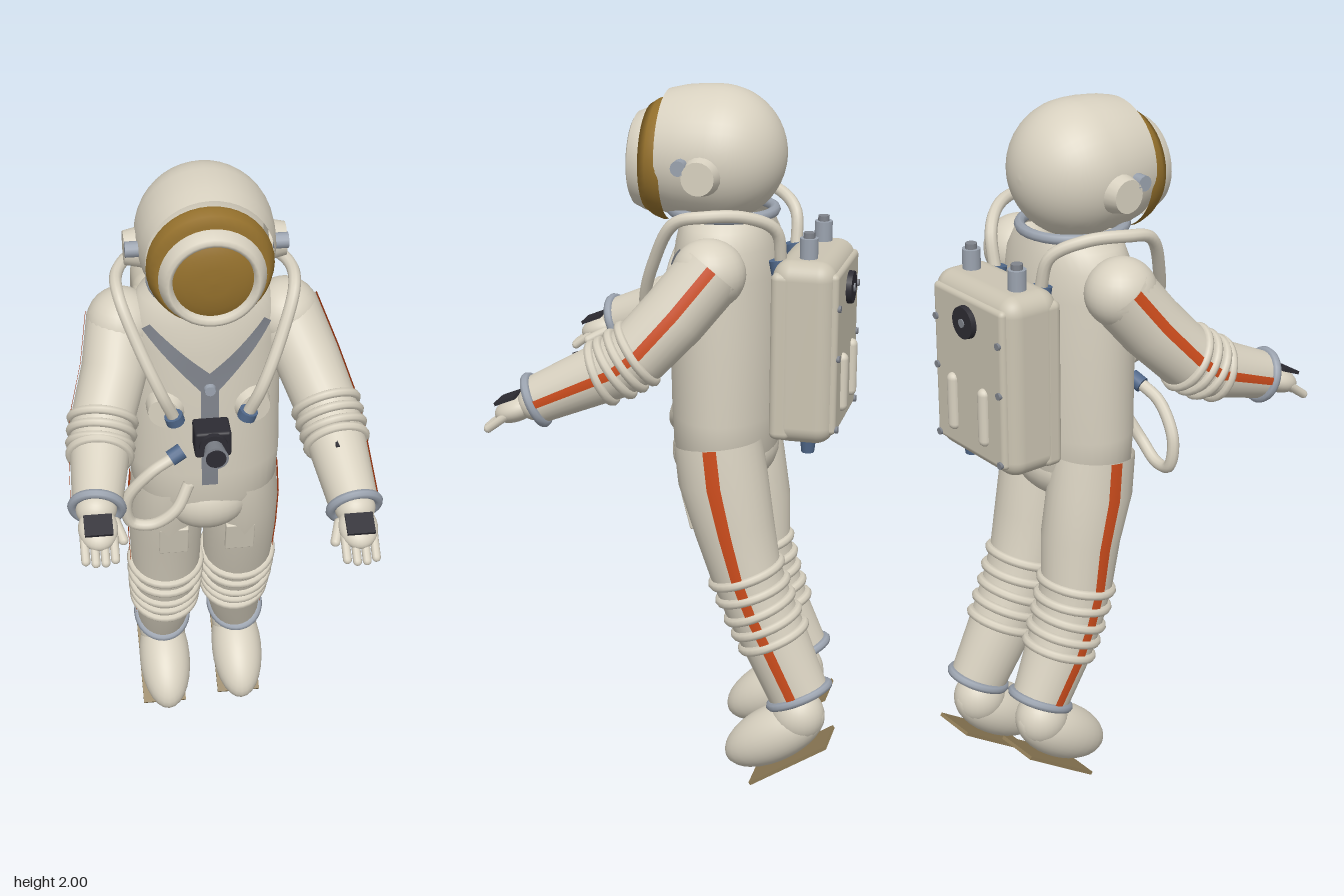
import * as THREE from 'three';
import { RoundedBoxGeometry } from 'three/addons/geometries/RoundedBoxGeometry.js';

const V = (x, y, z) => new THREE.Vector3(x, y, z);
const CX = -0.012; // body centre line

// Lofts elliptical rings along a path. rows: [x, y, z, rx, rOther]; a0..a1 limits the angle for strips.
function loft(rows, seg = 28, a0 = 0, a1 = Math.PI * 2, lift = 0) {
  const p = rows.map(r => V(r[0], r[1], r[2])), pos = [], idx = [], full = a1 - a0 > 6.28;
  const cols = full ? seg : seg + 1;
  rows.forEach((r, i) => {
    const T = p[Math.min(i + 1, p.length - 1)].clone().sub(p[Math.max(i - 1, 0)]).normalize();
    const A = V(1, 0, 0).addScaledVector(T, -T.x).normalize(), B = T.clone().cross(A);
    for (let j = 0; j < cols; j++) {
      const t = a0 + (a1 - a0) * j / seg;
      const q = p[i].clone().addScaledVector(A, Math.cos(t) * (r[3] + lift)).addScaledVector(B, Math.sin(t) * (r[4] + lift));
      pos.push(q.x, q.y, q.z);
    }
    if (i < rows.length - 1) for (let j = 0; j < seg; j++) {
      const a = i * cols + j, b = i * cols + (j + 1) % cols;
      idx.push(a, b, a + cols, b, b + cols, a + cols);
    }
  });
  const g = new THREE.BufferGeometry();
  g.setAttribute('position', new THREE.Float32BufferAttribute(pos, 3));
  g.setIndex(idx);
  g.computeVertexNormals();
  return g;
}

// Position, radii and direction at a fraction t of segment i of a limb
function along(rows, i, t) {
  const a = rows[i], b = rows[i + 1], m = a.map((v, k) => v + (b[k] - v) * t);
  return { p: V(m[0], m[1], m[2]), rx: m[3], ry: m[4], dir: V(b[0] - a[0], b[1] - a[1], b[2] - a[2]).normalize() };
}

const TORSO = [[0.92, 0.16, 0.115], [1.0, 0.207, 0.145], [1.1, 0.215, 0.15], [1.3, 0.213, 0.155],
  [1.5, 0.215, 0.15], [1.58, 0.205, 0.14], [1.63, 0.175, 0.13], [1.67, 0.125, 0.12]];
function chestZ(x, y) {
  let i = 0;
  while (i < TORSO.length - 2 && TORSO[i + 1][0] < y) i++;
  const a = TORSO[i], b = TORSO[i + 1], t = (y - a[0]) / (b[0] - a[0]);
  const rx = a[1] + (b[1] - a[1]) * t, rz = a[2] + (b[2] - a[2]) * t;
  return -0.13 + rz * Math.sqrt(Math.max(0, 1 - ((x - CX) / rx) ** 2));
}

export function createModel() {
  const root = new THREE.Group();
  const mat = (name, color, side = THREE.FrontSide) => {
    const m = new THREE.MeshStandardMaterial({ color, side });
    m.name = name;
    return m;
  };
  const suit = mat('suit cream', 0xd8d1c0, THREE.DoubleSide), panel = mat('pack cream', 0xcbc4b2);
  const gold = mat('visor gold', 0x94702c), orange = mat('stripe orange', 0xcc4c1c, THREE.DoubleSide);
  const cuff = mat('cuff grey', 0x9ba3af), strap = mat('strap grey', 0x80848c, THREE.DoubleSide);
  const blue = mat('fitting blue', 0x50688a), dark = mat('dark', 0x2d2c33), sole = mat('sole brown', 0x8e7b56);

  const add = (name, geo, m, pos, parent = root) => {
    const o = new THREE.Mesh(geo, m);
    o.name = name;
    if (pos) o.position.copy(pos);
    parent.add(o);
    return o;
  };
  const ball = (name, m, pos, sx, sy, sz, parent) => {
    const o = add(name, new THREE.SphereGeometry(1, 28, 18), m, pos, parent);
    o.scale.set(sx, sy, sz);
    return o;
  };
  const aim = (o, from, dir) => o.quaternion.setFromUnitVectors(from, dir.clone().normalize());
  const cyl = (name, m, pos, dir, r0, r1, h, seg = 20, parent = root) => {
    const o = add(name, new THREE.CylinderGeometry(r1, r0, h, seg), m, pos, parent);
    aim(o, V(0, 1, 0), dir);
    return o;
  };
  const ring = (name, m, pos, dir, r, tube, sx = 1, sy = 1) => {
    const o = add(name, new THREE.TorusGeometry(r, tube, 8, 32), m, pos);
    aim(o, V(0, 0, 1), dir);
    o.scale.set(sx, sy, 1);
    return o;
  };
  const hose = (name, pts, r, m = suit) => add(name,
    new THREE.TubeGeometry(new THREE.CatmullRomCurve3(pts.map(a => V(...a))), 48, r, 10), m);
  // Lathe about the z axis: profile of [radius, z], front to back
  const latheZ = (name, m, prof, y) => {
    const g = new THREE.LatheGeometry(prof.map(a => new THREE.Vector2(a[0], a[1])), 40);
    return add(name, g.rotateX(Math.PI / 2), m, V(CX, y, 0));
  };

  // Helmet: round shell, gold visor band, face ring and window
  const shell = [];
  for (let i = 0; i <= 14; i++) {
    const a = Math.PI * 0.5 * i / 14;
    shell.push([0.185 * Math.sin(a), -0.103 - 0.185 * Math.cos(a)]);
  }
  latheZ('helmetShell', suit, [...shell, [0.184, -0.06], [0.179, -0.01], [0.168, 0.037]], 1.815);
  latheZ('visorBand', gold, [[0.166, 0.025], [0.168, 0.04], [0.16, 0.065], [0.145, 0.088], [0, 0.088]], 1.795);
  latheZ('faceRing', suit, [[0.14, 0.08], [0.141, 0.092], [0.128, 0.122], [0.118, 0.128], [0.108, 0.122], [0.104, 0.1]], 1.79);
  latheZ('faceWindow', gold, [[0.108, 0.105], [0.08, 0.117], [0.04, 0.122], [0, 0.123]], 1.79);
  for (const s of [-1, 1]) {
    cyl('earCap', suit, V(CX + s * 0.19, 1.785, -0.095), V(s, 0, 0), 0.056, 0.045, 0.05);
    cyl('visorPivot', cuff, V(CX + s * 0.195, 1.81, -0.042), V(s, 0, 0), 0.021, 0.021, 0.04, 12);
  }

  // Torso, neck ring and hips
  add('torso', loft(TORSO.map(([y, rx, rz]) => [CX, y, -0.13, rx, rz]), 40), suit);
  ring('neckRing', cuff, V(CX, 1.663, -0.115), V(0, 1, 0), 0.142, 0.015);
  ball('hips', suit, V(CX, 0.98, -0.135), 0.2, 0.11, 0.14);
  ball('lowerBelly', suit, V(CX, 0.965, -0.075), 0.125, 0.1, 0.1);

  // Straps following the chest
  const chestStrip = (name, x0, y0, x1, y1, w0, w1) => {
    const n = 10, pos = [], idx = [], d = V(x1 - x0, y1 - y0, 0).normalize();
    for (let i = 0; i <= n; i++) for (const s of [-1, 1]) {
      const t = i / n, w = s * (w0 + (w1 - w0) * t) / 2;
      const x = x0 + (x1 - x0) * t - d.y * w, y = y0 + (y1 - y0) * t + d.x * w;
      pos.push(x, y, chestZ(x, y) + 0.005);
      if (i < n && s < 0) idx.push(2 * i, 2 * i + 2, 2 * i + 1, 2 * i + 1, 2 * i + 2, 2 * i + 3);
    }
    const g = new THREE.BufferGeometry();
    g.setAttribute('position', new THREE.Float32BufferAttribute(pos, 3));
    g.setIndex(idx);
    g.computeVertexNormals();
    add(name, g, strap);
  };
  chestStrip('centreStrap', CX, 1.42, CX, 1.07, 0.05, 0.045);
  for (const s of [-1, 1]) chestStrip('shoulderStrap', CX + s * 0.165, 1.57, CX, 1.41, 0.03, 0.06);
  cyl('strapBolt', cuff, V(CX, 1.4, 0.03), V(0, 0, 1), 0.018, 0.015, 0.02, 12);

  // Chest camera
  add('cameraBody', new RoundedBoxGeometry(0.1, 0.08, 0.08, 2, 0.008), dark, V(CX, 1.27, 0.07));
  cyl('lensCollar', dark, V(CX, 1.27, 0.115), V(0, 0, 1), 0.04, 0.04, 0.015);
  cyl('lens', strap, V(CX, 1.27, 0.145), V(0, 0, 1), 0.025, 0.035, 0.05);
  cyl('lensGlass', dark, V(CX, 1.27, 0.171), V(0, 0, 1), 0.028, 0.028, 0.004);

  // Air hoses from the pack over the shoulders to the chest ports
  for (const s of [-1, 1]) {
    const x = d => CX + s * d;
    hose('airHose', [[x(0.1), 1.54, -0.3], [x(0.13), 1.64, -0.29], [x(0.19), 1.685, -0.22], [x(0.235), 1.69, -0.12],
      [x(0.235), 1.67, -0.04], [x(0.19), 1.55, 0.03], [x(0.135), 1.42, 0.07], [x(0.1), 1.33, 0.055]], 0.017);
    cyl('chestPort', suit, V(x(0.12), 1.325, 0.005), V(s * 0.25, 0, 1), 0.058, 0.045, 0.04);
    cyl('hoseFitting', blue, V(x(0.1), 1.33, 0.055), V(s * 0.3, 1, 0.1), 0.026, 0.026, 0.025, 14);
    cyl('packHoseFitting', blue, V(x(0.1), 1.535, -0.295), V(0, 1, 0.2), 0.026, 0.026, 0.04, 14);
    // Pack top valves
    cyl('packValve', cuff, V(x(0.102), 1.59, -0.375), V(0, 1, 0), 0.025, 0.025, 0.06, 14);
    cyl('packValveCap', strap, V(x(0.102), 1.625, -0.375), V(0, 1, 0), 0.016, 0.016, 0.02, 10);
    // Raised bars and screws on the pack back
    const bar = add('packBar', new THREE.CapsuleGeometry(0.018, 0.13, 6, 14), suit, V(x(0.07), 1.215, -0.468));
    bar.scale.z = 0.9;
    for (const y of [1.12, 1.32, 1.46]) if (y !== 1.32 || s) cyl('packScrew', strap, V(x(0.14), y - 0.02, -0.467), V(0, 0, -1), 0.01, 0.01, 0.012, 10);
  }
  hose('waistHose', [[CX - 0.1, 1.19, 0.04], [CX - 0.17, 1.15, 0.055], [CX - 0.235, 1.06, 0.05], [CX - 0.225, 0.975, 0.045],
    [CX - 0.165, 0.965, 0.05], [CX - 0.1, 1.01, 0.05], [CX - 0.06, 1.08, 0.025]], 0.017);
  cyl('waistHoseFitting', blue, V(CX - 0.095, 1.193, 0.035), V(-1, -0.5, 0.3), 0.023, 0.023, 0.04, 14);

  // Backpack
  add('backpack', new RoundedBoxGeometry(0.355, 0.51, 0.175, 5, 0.05), panel, V(CX, 1.31, -0.372));
  add('packFrame', new RoundedBoxGeometry(0.355, 0.47, 0.06, 3, 0.02), panel, V(CX, 1.3, -0.315));
  add('packCover', new RoundedBoxGeometry(0.31, 0.45, 0.03, 3, 0.014), panel, V(CX, 1.31, -0.452));
  cyl('packDial', dark, V(CX, 1.465, -0.473), V(0, 0, -1), 0.046, 0.044, 0.018, 24);
  cyl('packDialHub', strap, V(CX, 1.465, -0.483), V(0, 0, -1), 0.012, 0.012, 0.005, 12);
  cyl('packDrain', blue, V(0.1, 1.045, -0.385), V(0, 1, 0), 0.018, 0.024, 0.05, 12);

  // Limb with outer stripe, bellows rings and end cuff
  const limb = (name, rows, s, bellows, tube) => {
    add(name, loft(rows), suit);
    const mid = s > 0 ? 0 : Math.PI;
    add(name + 'Stripe', loft(rows, 4, mid - 0.15, mid + 0.15, 0.004), orange);
    for (const [i, t] of bellows) {
      const q = along(rows, i, t);
      ring(name + 'Bellows', suit, q.p, q.dir, q.rx, tube, 1, q.ry / q.rx);
    }
    const e = along(rows, rows.length - 2, 1);
    ring(name + 'Cuff', cuff, e.p, e.dir, e.rx, 0.013, 1, e.ry / e.rx);
  };

  for (const s of [-1, 1]) {
    const L = s > 0, f = L ? 0 : 0.05, up = L ? 0 : 0.026;
    // Leg
    const lx = CX + s * 0.11, ax = L ? 0.113 : -0.125;
    limb(L ? 'leftLeg' : 'rightLeg', [[lx, 1.03, -0.13, 0.1, 0.125], [lx, 0.92, -0.145, 0.108, 0.128], [lx, 0.78, -0.178, 0.108, 0.115],
      [lx, 0.65, -0.212 + f * 0.4, 0.103, 0.102], [lx, 0.55, -0.25 + f * 0.6, 0.1, 0.098], [lx, 0.44, -0.302 + f * 0.8, 0.093, 0.096],
      [ax, 0.28 + up, -0.378 + f, 0.076, 0.088]], s, [[3, 0.1], [3, 0.6], [4, 0.1], [4, 0.5], [4, 0.9]], 0.014);
    // Thigh pocket, barely raised
    const pocket = add('thighPocket', new RoundedBoxGeometry(0.085, 0.11, 0.02, 2, 0.004), suit, V(CX + s * 0.097, 0.82, -0.054));
    pocket.rotation.x = 0.25;
    // Boot and sole
    ball('boot', suit, V(ax, 0.147 + up, -0.308 + f), 0.08, 0.082, 0.168).rotation.x = 0.59;
    ball('bootHeel', suit, V(ax, 0.215 + up, -0.375 + f), 0.073, 0.08, 0.078);
    const plate = add('sole', new THREE.BoxGeometry(0.135, 0.01, 0.265), sole, V(L ? 0.113 : -0.132, 0.08 + up, -0.36 + f));
    plate.rotation.x = 0.59;

    // Arm
    const wy = L ? 1.19 : 1.225, wz = L ? 0.315 : 0.285;
    const sh = V(CX + s * 0.225, 1.535, -0.13);
    ball('shoulder', suit, sh, 0.095, 0.095, 0.1);
    limb(L ? 'leftArm' : 'rightArm', [[sh.x, sh.y + 0.01, sh.z - 0.01, 0.093, 0.093], [s * 0.265, 1.43, -0.05, 0.09, 0.092],
      [s * 0.305, 1.335, 0.035, 0.086, 0.088], [s * 0.318, 1.29, 0.1, 0.083, 0.084], [s * 0.343, wy, wz, 0.066, 0.066]],
      s, [[2, 0.1], [2, 0.55], [2, 1], [3, 0.16]], 0.013);

    // Hand: palm, fingers, thumb on the inner side, and back plate
    const hand = new THREE.Group();
    hand.name = L ? 'leftHand' : 'rightHand';
    hand.position.set(s * 0.345, wy - 0.005, wz);
    hand.rotation.set(0.4, 0, 0);
    root.add(hand);
    ball('wrist', suit, V(0, 0, 0), 0.055, 0.05, 0.05, hand);
    ball('palm', suit, V(0, 0, 0.06), 0.053, 0.035, 0.065, hand);
    for (let i = 0; i < 4; i++) {
      const fx = -0.039 + i * 0.026;
      const finger = add('finger', new THREE.CapsuleGeometry(0.012, 0.065, 4, 10), suit, V(fx, -0.012, 0.125 - Math.abs(fx) * 0.3), hand);
      finger.rotation.x = Math.PI / 2 + 0.25;
    }
    const thumb = add('thumb', new THREE.CapsuleGeometry(0.014, 0.055, 4, 10), suit, V(-s * 0.056, -0.012, 0.065), hand);
    aim(thumb, V(0, 1, 0), V(-s * 0.3, -0.1, 1));
    add('handPlate', new THREE.BoxGeometry(0.075, 0.009, 0.062), dark, V(0, 0.036, 0.07), hand);
  }

  // Pen on the left forearm
  cyl('forearmPen', dark, V(0.31, 1.328, 0.18), V(0.02, -0.38, 1), 0.007, 0.007, 0.08, 8);
  return root;
}
